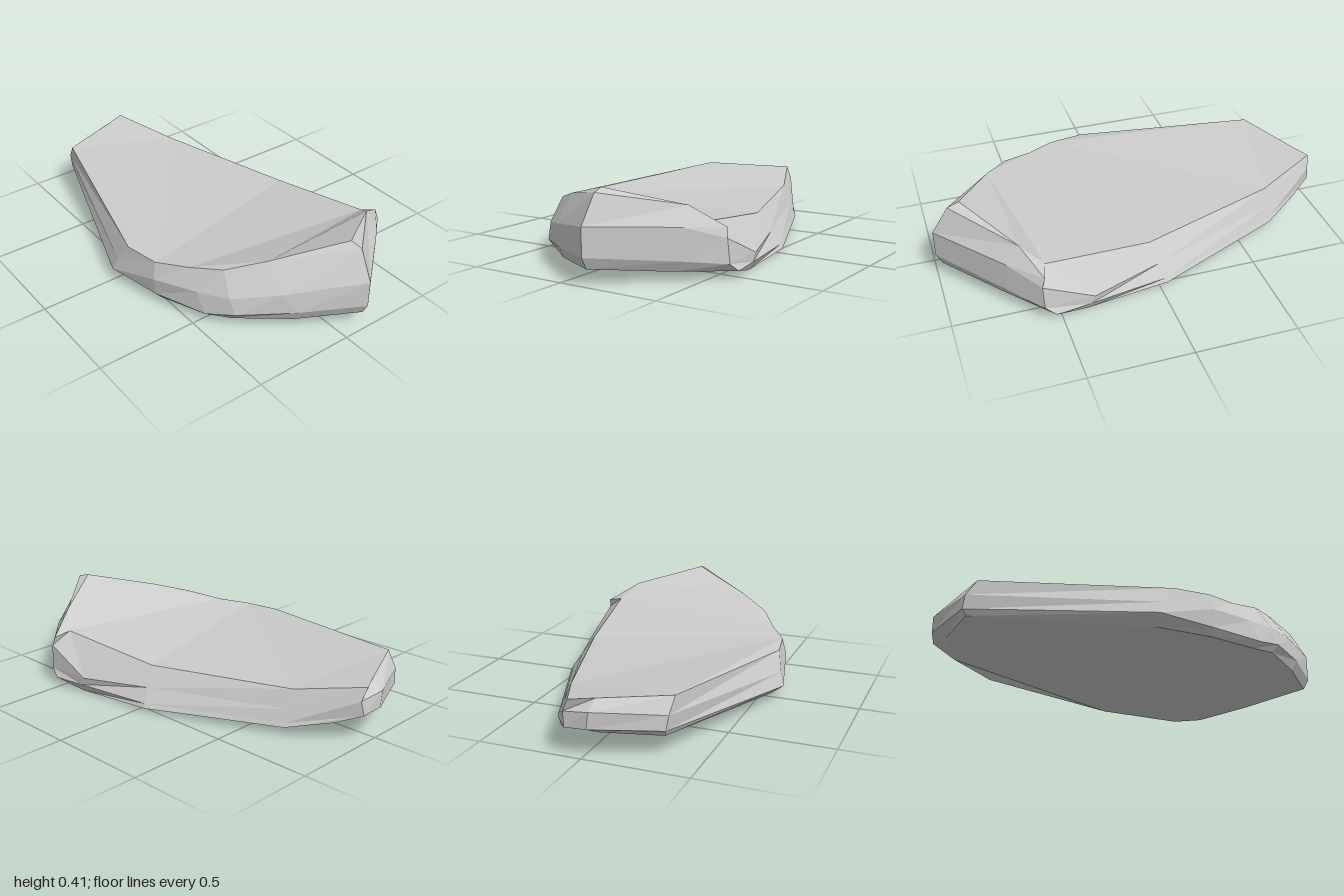
import * as THREE from 'three';

// Cross-section rings, clockwise seen from above, starting at the back tip
const rim = [
  [0.06, 0.262, -0.99], [0.20, 0.205, -0.68], [0.42, 0.19, 0.02], [0.50, 0.255, 0.55], [0.58, 0.235, 0.57],
  [0.43, 0.33, 0.65], [0.13, 0.395, 0.92], [-0.20, 0.325, 0.67], [-0.36, 0.275, 0.55], [-0.45, 0.24, 0.40],
  [-0.54, 0.225, 0.26], [-0.572, 0.222, 0.08], [-0.36, 0.275, -0.81], [-0.05, 0.265, -0.94],
];
const shoulder = [
  [0.09, 0.20, -0.98], [0.235, 0.12, -0.69], [0.48, 0.10, -0.01], [0.59, 0.08, 0.34], [0.587, 0.19, 0.585],
  [0.44, 0.245, 0.72], [0.12, 0.26, 1.00], [-0.20, 0.20, 0.78], [-0.38, 0.16, 0.62], [-0.46, 0.15, 0.48],
  [-0.56, 0.14, 0.27], [-0.60, 0.13, 0.02], [-0.35, 0.20, -0.86], [-0.04, 0.22, -1.00],
];
const skirt = [
  [0.08, 0.13, -0.99], [0.26, 0.06, -0.69], [0.52, 0.035, -0.035], [0.59, 0.04, 0.36], [0.597, 0.075, 0.58],
  [0.44, 0.095, 0.72], [0.12, 0.125, 1.00], [-0.15, 0.105, 0.83], [-0.37, 0.08, 0.65], [-0.45, 0.05, 0.53],
  [-0.55, 0.05, 0.27], [-0.62, 0.065, 0.00], [-0.34, 0.13, -0.87], [-0.03, 0.14, -1.00],
];
const base = [
  [0.15, 0.085, -0.88], [0.27, 0.04, -0.69], [0.53, 0.015, -0.04], [0.57, 0, 0.37], [0.612, 0.037, 0.53],
  [0.40, 0.045, 0.72], [0.12, 0.07, 0.97], [-0.15, 0.05, 0.80], [-0.36, 0.04, 0.62], [-0.43, 0.02, 0.50],
  [-0.52, 0.015, 0.27], [-0.56, 0.02, 0.00], [-0.33, 0.10, -0.85], [-0.06, 0.105, -0.93],
];
const peak = [0.12, 0.41, 0.86];

// Fills a loop with triangles facing up or down
function cap(loop, up) {
  const flat = loop.map(([x, , z]) => new THREE.Vector2(x, z));
  return THREE.ShapeUtils.triangulateShape(flat, []).flatMap((face) => {
    const [a, b, c] = face.map((i) => loop[i]);
    const ny = (b[2] - a[2]) * (c[0] - a[0]) - (b[0] - a[0]) * (c[2] - a[2]);
    return (ny > 0) === up ? [a, b, c] : [a, c, b];
  });
}

// Joins an upper ring to the ring below it
function wall(upper, lower) {
  return upper.flatMap((u, i) => {
    const j = (i + 1) % upper.length;
    return [u, upper[j], lower[j], u, lower[j], lower[i]];
  });
}

function part(name, corners, material) {
  const geometry = new THREE.BufferGeometry();
  geometry.setAttribute('position', new THREE.Float32BufferAttribute(corners.flat(), 3));
  geometry.computeVertexNormals();
  const mesh = new THREE.Mesh(geometry, material);
  mesh.name = name;
  return mesh;
}

export function createModel() {
  const group = new THREE.Group();
  group.name = 'rockSlab';
  const stone = new THREE.MeshStandardMaterial({ color: 0xcccccc, flatShading: true });

  // Faceted sides
  group.add(part('rockSides', [...wall(rim, shoulder), ...wall(shoulder, skirt), ...wall(skirt, base)], stone));

  // Broad back plateau, up to the crease
  group.add(part('plateau', cap([...rim.slice(0, 3), ...rim.slice(10)], true), stone));

  // Front slope rising from the crease to the raised lip
  const slope = cap([...rim.slice(2, 6), peak, ...rim.slice(7, 11)], true);
  const lip = [...cap([rim[5], rim[6], peak], true), ...cap([rim[6], rim[7], peak], true)];
  group.add(part('frontSlope', [...slope, ...lip], stone));

  // Underside
  group.add(part('underside', cap(base, false), stone));
  return group;
}
